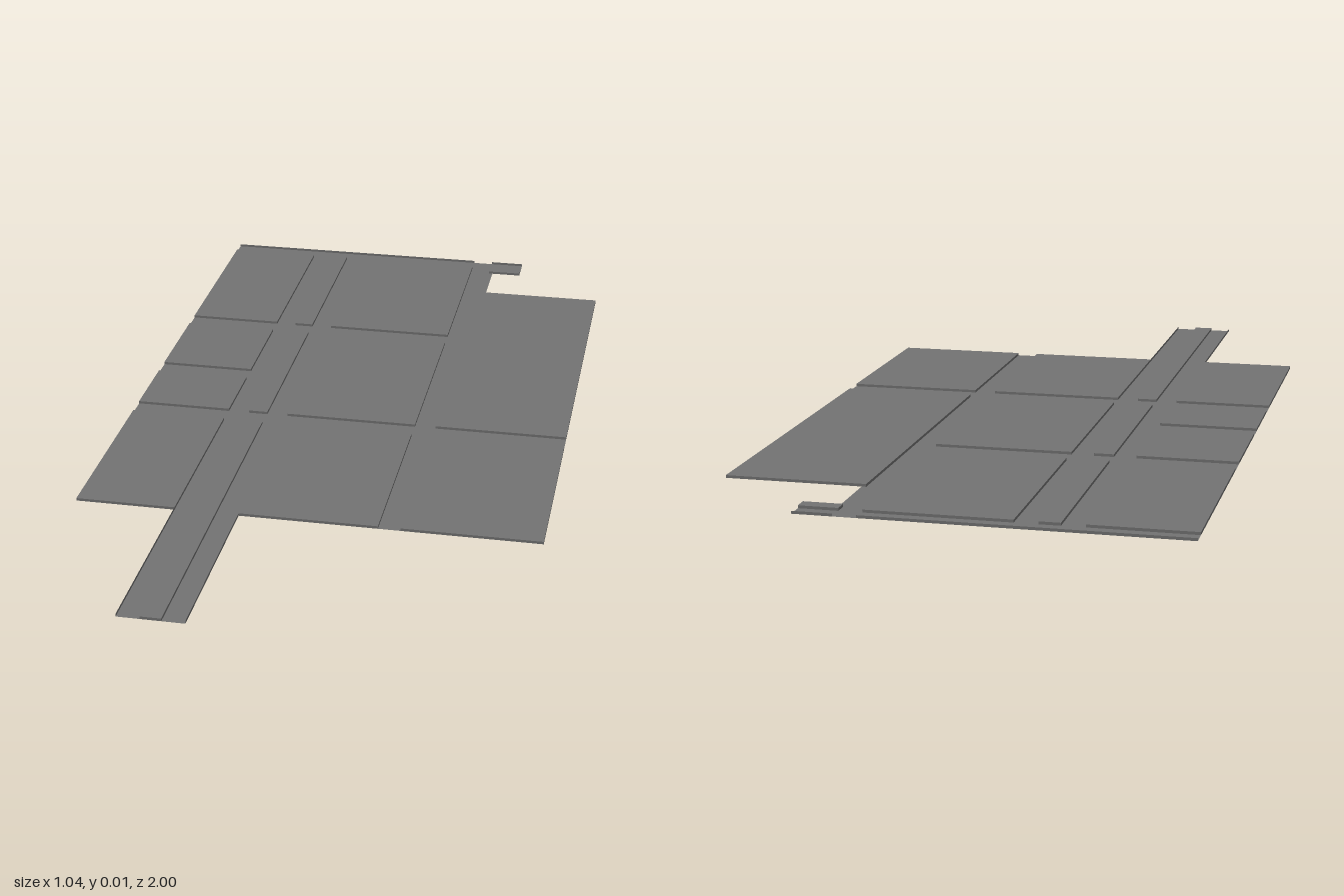
import * as THREE from 'three';

const H = 0.006; // slab height

export function createModel() {
  const model = new THREE.Group();
  const material = new THREE.MeshStandardMaterial({ color: 0x737373, side: THREE.DoubleSide });

  // floor outline as x, z corners
  const outline = [
    [-0.52, 0.55], [-0.295, 0.55], [-0.295, 1], [-0.15, 1], [-0.15, 0.55], [0.52, 0.55],
    [0.52, -0.78], [0.22, -0.78], [0.22, -0.93], [0.295, -0.93], [0.295, -1], [-0.52, -1],
  ];
  const shape = new THREE.Shape(outline.map(([x, z]) => new THREE.Vector2(x, -z)));
  const floor = new THREE.Mesh(new THREE.ShapeGeometry(shape).rotateX(-Math.PI / 2), material);
  floor.name = 'floor';
  model.add(floor);

  // a column of low slabs between x0 and x1, one per z span, with grooves left between them
  const addSlabs = (name, x0, x1, spans) =>
    spans.forEach(([z0, z1]) => {
      const slab = new THREE.Mesh(new THREE.BoxGeometry(x1 - x0, H, z1 - z0), material);
      slab.name = name;
      slab.position.set((x0 + x1) / 2, H / 2, (z0 + z1) / 2);
      model.add(slab);
    });

  addSlabs('rightRoom', -0.52, -0.295, [[0.1, 0.55], [-0.13, 0.05], [-0.43, -0.18], [-0.96, -0.48]]);
  addSlabs('corridor', -0.245, -0.2, [[0.1, 1], [-0.43, 0.05], [-0.96, -0.48]]);
  addSlabs('middleRoom', -0.15, 0.16, [[0.1, 0.55], [-0.43, 0.05], [-0.96, -0.48]]);
  addSlabs('leftRoom', 0.21, 0.52, [[0.1, 0.55], [-0.78, 0.05]]);
  addSlabs('cornerLedge', 0.21, 0.295, [[-0.96, -0.93]]);

  // thin upright lips closing the outer side of the edge grooves
  const addLip = (name, x, z, length, turn) => {
    const lip = new THREE.Mesh(new THREE.PlaneGeometry(length, H), material);
    lip.name = name;
    lip.position.set(x, H / 2, z);
    lip.rotation.y = turn;
    model.add(lip);
  };
  addLip('backLip', -0.18, -1, 0.68, 0);
  addLip('backLip', 0.2525, -1, 0.085, 0);
  for (const x of [-0.295, -0.15]) addLip('corridorLip', x, 0.775, 0.45, Math.PI / 2);

  return model;
}
